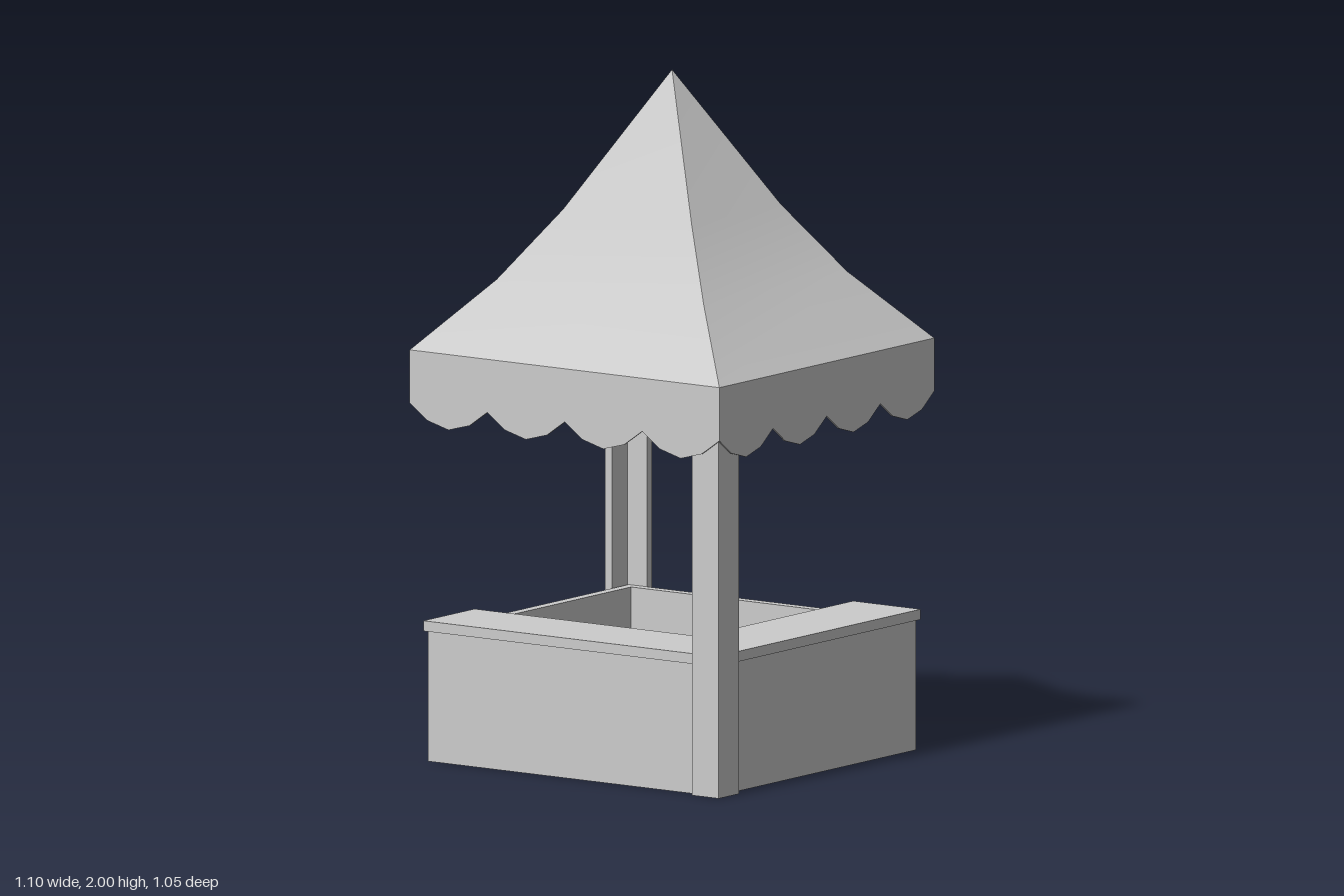
import * as THREE from 'three';

const material = new THREE.MeshStandardMaterial({ color: 0xcccccc, side: THREE.DoubleSide });

function add(group, name, geometry) {
  const mesh = new THREE.Mesh(geometry, material);
  mesh.name = name;
  group.add(mesh);
  return mesh;
}

// Box given by its lower and upper corners
function box(group, name, [x0, y0, z0], [x1, y1, z1]) {
  const mesh = add(group, name, new THREE.BoxGeometry(x1 - x0, y1 - y0, z1 - z0));
  mesh.position.set((x0 + x1) / 2, (y0 + y1) / 2, (z0 + z1) / 2);
}

// Plan outline of [x, z] points raised from y0 to y1
function raisePlan(points, y0, y1) {
  const shape = new THREE.Shape(points.map(([x, z]) => new THREE.Vector2(x, -z)));
  const geometry = new THREE.ExtrudeGeometry(shape, { depth: y1 - y0, bevelEnabled: false });
  return geometry.rotateX(-Math.PI / 2).translate(0, y0, 0);
}

// One side of the roof: rings of [half width, distance out, y], smooth up the slope
function roofSide(rings) {
  const positions = [], index = [];
  rings.forEach(([w, d, y], i) => {
    positions.push(-w, y, d, w, y, d);
    const a = i * 2;
    if (i < rings.length - 1) index.push(a, a + 1, a + 3);
    if (i < rings.length - 2) index.push(a, a + 3, a + 2);
  });
  const geometry = new THREE.BufferGeometry();
  geometry.setAttribute('position', new THREE.Float32BufferAttribute(positions, 3));
  geometry.setIndex(index);
  geometry.computeVertexNormals();
  return geometry;
}

// Thin cloth strip with a scalloped lower edge
function valance(halfWidth, out) {
  const scallops = 4, thickness = 0.006;
  const drop = [1.045, 1.0, 0.98, 1.0];
  const along = [0, 0.23, 0.5, 0.77];
  const step = (2 * halfWidth) / scallops;
  const shape = new THREE.Shape();
  shape.moveTo(-halfWidth, 1.2);
  for (let i = 0; i < scallops; i++) {
    drop.forEach((y, k) => shape.lineTo(-halfWidth + (i + along[k]) * step, y));
  }
  shape.lineTo(halfWidth, 1.045);
  shape.lineTo(halfWidth, 1.2);
  return new THREE.ExtrudeGeometry(shape, { depth: thickness, bevelEnabled: false })
    .translate(0, 0, out - thickness);
}

export function createModel() {
  const model = new THREE.Group();
  model.name = 'marketStall';
  const X = 0.51, Z = 0.49, t = 0.03, wallTop = 0.38;

  // Open box: floor and four walls
  box(model, 'floor', [-X + t, 0, -Z + t], [X - t, 0.03, Z - t]);
  for (const s of [-1, 1]) {
    const zMid = s * (Z - t / 2), xMid = s * (X - t / 2);
    box(model, s > 0 ? 'frontWall' : 'backWall', [-X, 0, zMid - t / 2], [X, wallTop, zMid + t / 2]);
    box(model, s > 0 ? 'leftWall' : 'rightWall', [xMid - t / 2, 0, -Z + t], [xMid + t / 2, wallTop, Z - t]);
  }

  // L-shaped counter over the front and left walls
  add(model, 'counter', raisePlan(
    [[-0.52, 0.5], [0.52, 0.5], [0.52, -0.5], [0.28, -0.5], [0.28, 0.25], [-0.52, 0.25]],
    wallTop, 0.41));

  // Two angle-section posts on opposite corners
  for (const s of [1, -1]) {
    const plan = [[0.54, 0.515], [0.54, 0.415], [0.515, 0.415], [0.515, 0.49], [0.445, 0.49], [0.445, 0.515]];
    add(model, s > 0 ? 'frontPost' : 'backPost',
      raisePlan(plan.map(([x, z]) => [s * x, s * z]), 0, 1.2));
  }

  // Tent roof and valance, one piece for each side
  const roof = new THREE.Group();
  roof.name = 'canopy';
  model.add(roof);
  const halfX = 0.55, halfZ = 0.525;
  const profile = [[1, 1.2], [0.668, 1.4], [0.415, 1.6], [0, 2]];
  ['front', 'left', 'back', 'right'].forEach((side, i) => {
    const [w, d] = i % 2 ? [halfZ, halfX] : [halfX, halfZ];
    const angle = (i * Math.PI) / 2;
    add(roof, side + 'Roof', roofSide(profile.map(([k, y]) => [w * k, d * k, y]))).rotation.y = angle;
    add(roof, side + 'Valance', valance(w, d)).rotation.y = angle;
  });

  return model;
}
